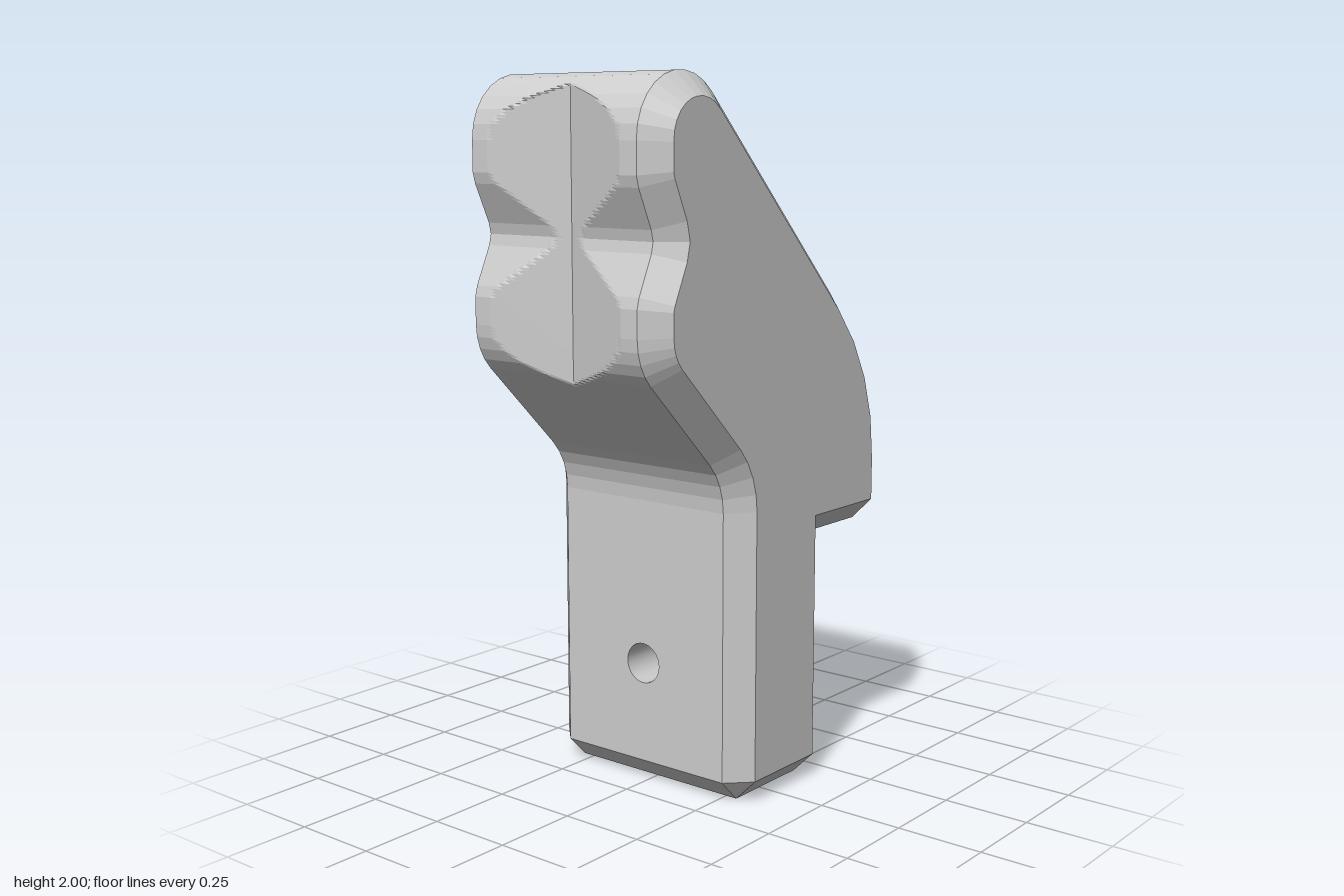
import * as THREE from 'three';

const CH = 0.065;          // chamfer size
const W = 0.35;            // half width
const FLAT = W - CH;       // half width between the chamfers
const STEM_R = 0.17, STEM_L = -0.175;
const HOLE_Y = 0.355, HOLE_R = 0.058;

const arc = (cx, cy, r, a0, a1, n) =>
  Array.from({ length: n + 1 }, (_, i) => {
    const a = THREE.MathUtils.degToRad(a0 + (a1 - a0) * i / n);
    return [cx + r * Math.cos(a), cy + r * Math.sin(a)];
  });

// Side outline with sharp corners, counter-clockwise; the first edge is the unchamfered stem face
const outline = [
  [STEM_R, 0], [STEM_R, 0.71], [0.525, 0.71],
  ...arc(-0.175, 0.9, 0.7, 0, 45, 4),
  ...arc(-0.355, 1.825, 0.175, 45, 180, 10),
  [-0.53, 1.74], [-0.522, 1.71], [-0.474, 1.605], [-0.467, 1.575], [-0.474, 1.545], [-0.522, 1.44], [-0.53, 1.41],
  ...arc(-0.355, 1.335, 0.175, 180, 225, 4),
  ...arc(-0.375, 0.83, 0.2, 45, 0, 4),
  [STEM_L, 0],
];

// Move every edge inwards by the chamfer size, except the first
function inset(pts) {
  const n = pts.length;
  const edge = (i) => {
    const [a, b] = [pts[i], pts[(i + 1) % n]];
    const dx = b[0] - a[0], dy = b[1] - a[1], l = Math.hypot(dx, dy);
    return { nx: -dy / l, ny: dx / l, d: i === 0 ? 0 : CH };
  };
  return pts.map(([x, y], i) => {
    const e = edge((i + n - 1) % n), f = edge(i);
    const det = e.nx * f.ny - e.ny * f.nx;
    if (Math.abs(det) < 1e-5) return [x + f.nx * f.d, y + f.ny * f.d];
    return [x + (e.d * f.ny - f.d * e.ny) / det, y + (e.nx * f.d - f.nx * e.d) / det];
  });
}

// Vertical V groove down the middle of the narrow face
const groove = (z) => -0.455 - Math.abs(z) * 0.075 / 0.23;

function shellGeometry(inner) {
  // Pair outer and inner points, cutting the two outer corners
  let pairs = [];
  outline.forEach(([x, y], i) => {
    const q = inner[i];
    if (i === 2) pairs.push([[x - CH, y], q], [[x, y + CH], q]);
    else if (i === outline.length - 1) pairs.push([[x, y + CH], q], [[x + CH, y], q]);
    else pairs.push([[x, y], q]);
  });
  // Finer steps where the groove cuts
  const mix = (a, b, t) => [a[0] + (b[0] - a[0]) * t, a[1] + (b[1] - a[1]) * t];
  const fine = [];
  pairs.forEach((p, i) => {
    const q = pairs[(i + 1) % pairs.length];
    const len = Math.hypot(q[0][0] - p[0][0], q[0][1] - p[0][1]);
    const cut = Math.min(p[0][0], q[0][0]) < -0.44;
    const steps = cut ? Math.min(40, Math.ceil(len / 0.01)) : 1;
    for (let k = 0; k < steps; k++) fine.push([mix(p[0], q[0], k / steps), mix(p[1], q[1], k / steps)]);
  });

  const rows = [-W, -FLAT];
  for (let i = -12; i <= 12; i++) rows.push(0.23 * i / 12);
  rows.push(FLAT, W);
  const at = (i, z) => {
    const [o, q] = fine[i % fine.length];
    if (Math.abs(z) === W) return [q[0], q[1], z];
    return [Math.max(o[0], groove(z)), o[1], z];
  };
  const pos = [];
  const onWall = (i, x) => [i, i + 1].every((k) => Math.abs(fine[k % fine.length][0][0] - x) < 1e-6);
  for (let r = 0; r < rows.length - 1; r++) {
    const z0 = rows[r], z1 = rows[r + 1];
    const middle = Math.abs(z0) < W && Math.abs(z1) < W;
    for (let i = 0; i < fine.length; i++) {
      if (onWall(i, STEM_R) || (middle && onWall(i, STEM_L))) continue; // drilled walls are separate
      const a = at(i, z0), b = at(i + 1, z0), c = at(i + 1, z1), d = at(i, z1);
      pos.push(...a, ...b, ...c, ...a, ...c, ...d);
    }
  }
  const g = new THREE.BufferGeometry();
  g.setAttribute('position', new THREE.Float32BufferAttribute(pos, 3));
  g.computeVertexNormals();
  return g;
}

const toShape = (pts) => new THREE.Shape(pts.map(([x, y]) => new THREE.Vector2(x, y)));

// Stem wall in the z-y plane with the bolt hole
function wallGeometry(pts, x, dir) {
  const s = toShape(pts);
  s.holes.push(new THREE.Path().absarc(0, HOLE_Y, HOLE_R, 0, Math.PI * 2, true));
  return new THREE.ShapeGeometry(s, 16).rotateY(dir * Math.PI / 2).translate(x, 0, 0);
}

export function createModel() {
  const group = new THREE.Group();
  const mat = new THREE.MeshStandardMaterial({ color: 0xcccccc, flatShading: true });
  const add = (name, geometry, material = mat) => {
    const m = new THREE.Mesh(geometry, material);
    m.name = name;
    group.add(m);
  };

  // Chamfered rim, with the grooves
  const inner = inset(outline);
  add('bodyShell', shellGeometry(inner));

  // Flat side faces
  const side = toShape(inner);
  add('frontFace', new THREE.ShapeGeometry(side).translate(0, 0, W));
  add('backFace', new THREE.ShapeGeometry(side).rotateY(Math.PI).scale(-1, 1, 1).translate(0, 0, -W));
  const back = group.children[group.children.length - 1].geometry;
  back.setIndex(Array.from(back.index.array).reverse()); // undo the mirrored winding

  // Drilled stem walls
  add('stemInnerWall', wallGeometry([
    [-FLAT, 0], [FLAT, 0], [W, CH], [W, 0.71 + CH], [FLAT, 0.71], [-FLAT, 0.71], [-W, 0.71 + CH], [-W, CH],
  ], STEM_R, 1));
  add('stemOuterWall', wallGeometry([[-FLAT, CH], [FLAT, CH], [FLAT, 0.83], [-FLAT, 0.83]], STEM_L, -1));

  // Bolt hole
  const bore = new THREE.CylinderGeometry(HOLE_R, HOLE_R, STEM_R - STEM_L, 32, 1, true);
  bore.rotateZ(Math.PI / 2).translate((STEM_R + STEM_L) / 2, HOLE_Y, 0);
  add('boltHole', bore, new THREE.MeshStandardMaterial({ color: 0xcccccc, side: THREE.BackSide }));

  return group;
}
